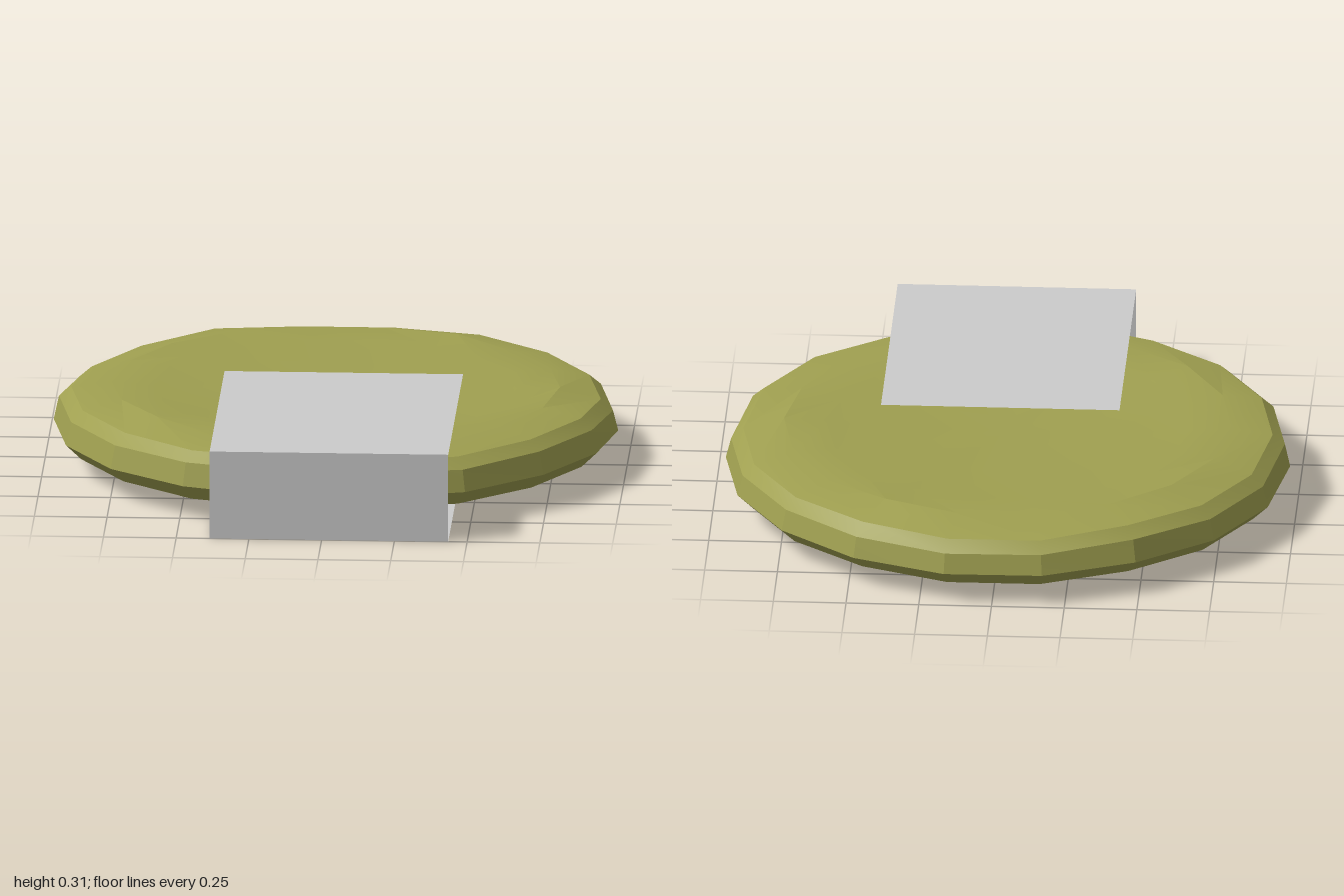
import * as THREE from 'three';
import { toCreasedNormals } from 'three/addons/utils/BufferGeometryUtils.js';

// Irregular, slightly dished disc with 18 sides
function makeDisc() {
  const profile = [
    [0, 0.055], [0.45, 0.055], [0.8, 0.058], [0.915, 0.064], [0.97, 0.118],
    [0.952, 0.195], [0.91, 0.232], [0.77, 0.262], [0.62, 0.252], [0.35, 0.238], [0, 0.236],
  ].map(([r, y]) => new THREE.Vector2(r, y));
  const geo = new THREE.LatheGeometry(profile, 18, Math.PI / 18);
  const pos = geo.attributes.position;
  for (let i = 0; i < pos.count; i++) {
    const x = pos.getX(i), y = pos.getY(i), z = pos.getZ(i);
    const r = Math.hypot(x, z), a = Math.atan2(x, z);
    // gentle unevenness that grows towards the rim; the front edge sits higher
    const wave = 0.007 * Math.sin(5 * a + r * 9) + 0.004 * Math.sin(7 * a - r * 6);
    const tilt = 0.012 * z - 0.006 * x;
    const weight = y > 0.15 ? r : r * 0.5;
    pos.setY(i, y + (wave + tilt) * weight);
    pos.setZ(i, z * 0.985);
  }
  geo.deleteAttribute('uv');
  return toCreasedNormals(geo, 0.32);
}

export function createModel() {
  const model = new THREE.Group();

  const disc = new THREE.Mesh(makeDisc(), new THREE.MeshStandardMaterial({ color: 0x9f9f50 }));
  disc.name = 'disc';
  disc.position.set(-0.003, 0, -0.043);
  model.add(disc);

  // Folded slab: top, bottom and front panels, open at the sides and back
  const slab = new THREE.Group();
  slab.name = 'foldedSlab';
  slab.position.set(0.025, 0, 0.49);
  const grey = new THREE.MeshStandardMaterial({ color: 0xcccccc, side: THREE.DoubleSide });
  const width = 0.82, depth = 1.02, height = 0.31;
  const panel = (name, h, y, z, tilt) => {
    const mesh = new THREE.Mesh(new THREE.PlaneGeometry(width, h), grey);
    mesh.name = name;
    mesh.position.set(0, y, z);
    mesh.rotation.x = tilt;
    slab.add(mesh);
  };
  panel('topPanel', depth, height, 0, -Math.PI / 2);
  panel('bottomPanel', depth, 0, 0, Math.PI / 2);
  panel('frontPanel', height, height / 2, depth / 2, 0);
  model.add(slab);

  return model;
}
